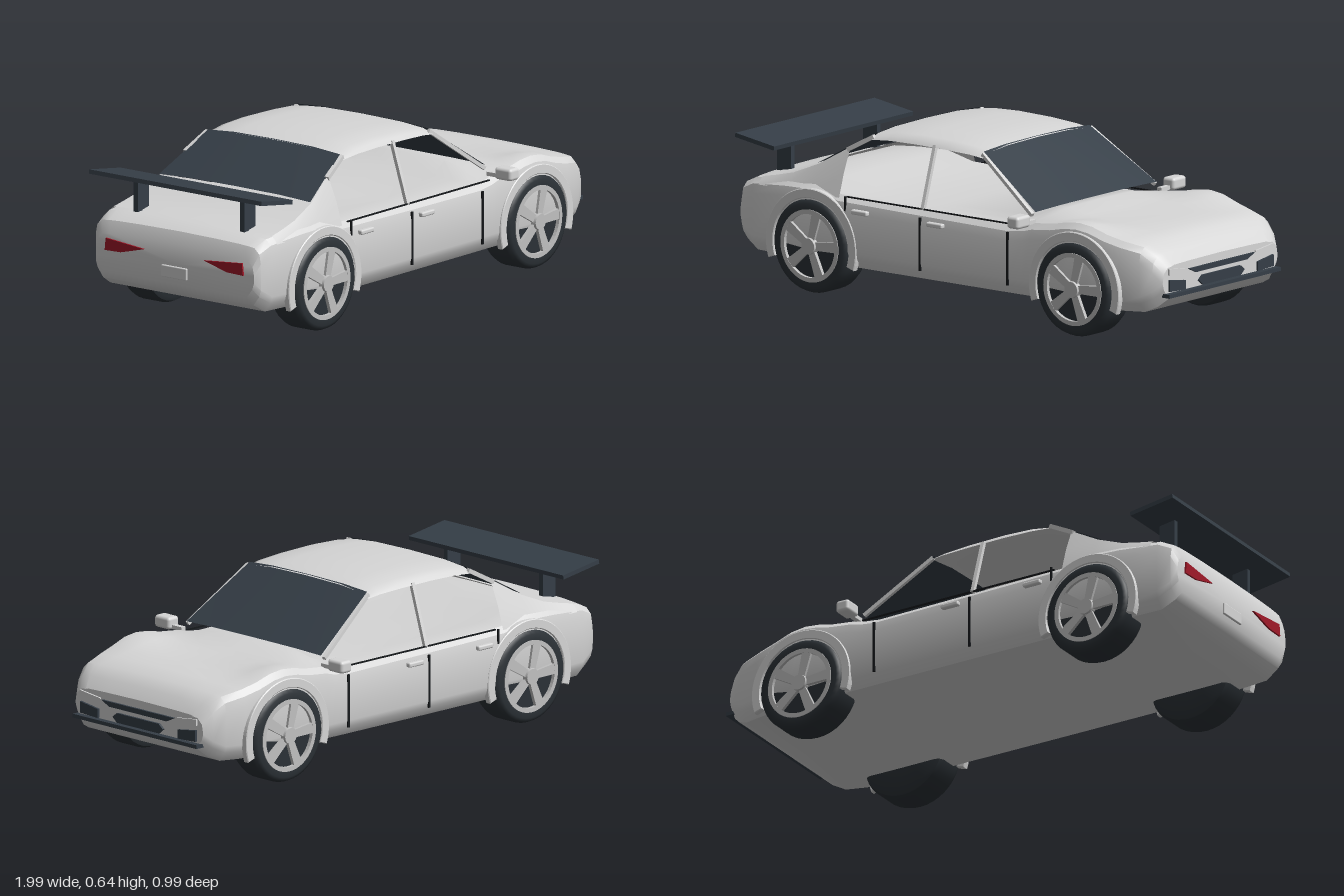
import * as THREE from 'three';
import { toCreasedNormals } from 'three/addons/utils/BufferGeometryUtils.js';
import { RoundedBoxGeometry } from 'three/addons/geometries/RoundedBoxGeometry.js';

function material(name, color, side = THREE.FrontSide) {
  const m = new THREE.MeshStandardMaterial({ color, side });
  m.name = name;
  return m;
}

// Skin over rows of [x, y, z] points, rows running towards +x
function loft(rows, { closed = false, caps = false, crease = 0.6 } = {}) {
  const n = rows[0].length, pos = rows.flat(2), idx = [];
  const segs = closed ? n : n - 1;
  for (let i = 0; i < rows.length - 1; i++) for (let j = 0; j < segs; j++) {
    const k = (j + 1) % n, a = i * n + j, b = i * n + k, c = b + n, d = a + n;
    idx.push(a, d, c, a, c, b);
  }
  if (caps) [0, rows.length - 1].forEach((r) => {
    const ys = rows[r].map((p) => p[1]);
    const center = pos.length / 3;
    pos.push(rows[r][0][0], (Math.min(...ys) + Math.max(...ys)) / 2, 0);
    for (let j = 0; j < n; j++) {
      const a = r * n + j, b = r * n + (j + 1) % n;
      if (r === 0) idx.push(center, a, b); else idx.push(center, b, a);
    }
  });
  const g = new THREE.BufferGeometry();
  g.setAttribute('position', new THREE.Float32BufferAttribute(pos, 3));
  g.setIndex(idx);
  return toCreasedNormals(g, crease);
}

// Half section from +z edge to centre, mirrored to -z
const mirrorRow = (x, half) => [
  ...half.map(([z, y]) => [x, y, z]),
  ...half.filter(([z]) => z > 0).reverse().map(([z, y]) => [x, y, -z]),
];

export function createModel() {
  const paint = material('paint', 0xd6d6d6, THREE.DoubleSide);
  const dark = material('darkGlass', 0x353e47, THREE.DoubleSide);
  const rubber = material('tyreRubber', 0x2b3136);
  const alloy = material('alloy', 0xc0c0c0);
  const seam = material('seam', 0x15181b);
  const red = material('redLamp', 0xa01828);

  const car = new THREE.Group();
  car.name = 'car';
  const add = (name, geo, mat, x = 0, y = 0, z = 0, parent = car) => {
    const m = new THREE.Mesh(geo, mat);
    m.name = name;
    m.position.set(x, y, z);
    parent.add(m);
    return m;
  };
  const box = (name, mat, w, h, d, x, y, z) => add(name, new THREE.BoxGeometry(w, h, d), mat, x, y, z);
  const bar = (name, mat, a, b, t) => {
    const p = new THREE.Vector3(...a), q = new THREE.Vector3(...b);
    const m = add(name, new THREE.BoxGeometry(t, t, p.distanceTo(q)), mat);
    m.position.copy(p).lerp(q, 0.5);
    m.lookAt(q);
  };

  // Lower body: x, bottom, centre top, shoulder top, half width
  const stations = [
    [-0.985, 0.18, 0.33, 0.325, 0.372], [-0.965, 0.15, 0.375, 0.37, 0.388],
    [-0.91, 0.118, 0.402, 0.395, 0.398], [-0.75, 0.115, 0.41, 0.408, 0.408],
    [-0.62, 0.115, 0.405, 0.412, 0.412], [-0.5, 0.115, 0.376, 0.385, 0.411],
    [-0.1, 0.115, 0.375, 0.38, 0.411], [0.3, 0.115, 0.375, 0.376, 0.409],
    [0.37, 0.115, 0.42, 0.385, 0.408], [0.41, 0.115, 0.42, 0.396, 0.408],
    [0.5, 0.115, 0.405, 0.406, 0.41], [0.56, 0.115, 0.4, 0.419, 0.411],
    [0.62, 0.115, 0.396, 0.425, 0.412], [0.68, 0.115, 0.393, 0.418, 0.411],
    [0.75, 0.115, 0.39, 0.396, 0.407], [0.82, 0.115, 0.384, 0.38, 0.398],
    [0.9, 0.118, 0.37, 0.365, 0.378], [0.945, 0.14, 0.335, 0.33, 0.358],
    [0.976, 0.17, 0.295, 0.29, 0.335],
  ];
  const bodyRows = stations.map(([x, yb, yc, ys, w]) => mirrorRow(x, [
    [0, yb], [w - 0.035, yb], [w - 0.008, yb + 0.035], [w, yb + 0.06], [w, ys - 0.06],
    [w - 0.007, ys - 0.025], [w - 0.03, ys - 0.004], [w - 0.065, ys],
    [0.28, ys * 0.55 + yc * 0.45], [0.18, yc], [0, yc + 0.002],
  ]));
  add('body', loft(bodyRows, { closed: true, caps: true }), paint);

  // Roof shell
  const roofRows = [[-0.41, -0.02], [-0.32, -0.005], [-0.2, 0], [-0.05, -0.003], [0.06, -0.01], [0.12, -0.022]]
    .map(([x, d]) => mirrorRow(x, [[0.325, 0.598 + d / 2], [0.312, 0.615 + d], [0.28, 0.626 + d],
      [0.18, 0.635 + d], [0, 0.638 + d]]));
  add('roof', loft(roofRows), paint);

  // Windscreen and rear window
  const pane = (x, y, z, rise) => mirrorRow(x, [[z, y], [z * 0.6, y + rise * 0.8], [0, y + rise]]);
  add('windscreen', loft([pane(0.11, 0.609, 0.308, 0.01), pane(0.39, 0.426, 0.352, 0.004)]), dark);
  add('rearWindow', loft([pane(-0.635, 0.477, 0.355, 0.008), pane(-0.405, 0.608, 0.31, 0.012)]), dark);

  // Tail deck behind the rear window
  add('tailDeck', loft([[-0.88, 0.398, 0.372], [-0.82, 0.41, 0.37], [-0.74, 0.429, 0.365], [-0.63, 0.474, 0.356]]
    .map(([x, y, z]) => pane(x, y, z, 0.008))), paint);

  for (const s of [1, -1]) {
    const side = s > 0 ? 'left' : 'right';

    // Rear quarter panel
    const quarter = [[-0.88, 0.398, 0.372], [-0.82, 0.41, 0.37], [-0.74, 0.429, 0.365], [-0.63, 0.474, 0.356], [-0.5, 0.55, 0.33]]
      .map(([x, y, z]) => {
        const row = [[x, 0.37, 0.397 * s], [x, 0.37 + (y - 0.37) * 0.5, (z * 0.45 + 0.22) * s], [x, y, z * s]];
        return s > 0 ? row : row.reverse();
      });
    add(side + 'QuarterPanel', loft(quarter), paint);

    // Pillars
    bar(side + 'FrontPillar', paint, [0.38, 0.415, 0.358 * s], [0.11, 0.6, 0.312 * s], 0.014);
    bar(side + 'MiddlePillar', paint, [-0.11, 0.375, 0.39 * s], [-0.11, 0.605, 0.317 * s], 0.014);
    bar(side + 'RearPillar', paint, [-0.51, 0.54, 0.333 * s], [-0.4, 0.6, 0.315 * s], 0.016);

    // Door seams, belt line and handles
    for (const x of [-0.108, 0.305]) box(side + 'DoorSeam', seam, 0.009, 0.2, 0.006, x, 0.25, 0.41 * s);
    box(side + 'RearDoorSeam', seam, 0.007, 0.055, 0.006, -0.462, 0.355, 0.409 * s);
    box(side + 'BeltLine', seam, 0.83, 0.005, 0.006, -0.05, 0.378, 0.393 * s);
    for (const x of [-0.385, -0.03])
      add(side + 'DoorHandle', new RoundedBoxGeometry(0.075, 0.018, 0.022, 2, 0.006), paint, x, 0.332, 0.417 * s);

    // Wing mirror
    add(side + 'Mirror', new RoundedBoxGeometry(0.055, 0.046, 0.078, 3, 0.012), paint, 0.393, 0.408, 0.454 * s);
    box(side + 'MirrorStem', paint, 0.02, 0.015, 0.06, 0.393, 0.395, 0.395 * s);

    // Spoiler support
    box(side + 'SpoilerSupport', dark, 0.065, 0.13, 0.02, -0.87, 0.46, 0.25 * s);

    for (const x of [-0.62, 0.62]) buildWheel(x, s, side + (x > 0 ? 'Front' : 'Rear'));
  }

  // Wheel and arch flare at one corner
  function buildWheel(x, s, label) {
    const g = new THREE.Group();
    g.name = label + 'Wheel';
    g.position.set(x, 0.178, 0.352 * s);
    if (s < 0) g.rotation.y = Math.PI;
    car.add(g);
    const profile = [[0, -0.065], [0.155, -0.067], [0.17, -0.06], [0.178, -0.042], [0.178, 0.045],
      [0.171, 0.062], [0.158, 0.069], [0.134, 0.068], [0.13, 0.055], [0, 0.055]]
      .map(([r, h]) => new THREE.Vector2(r, h));
    const tyre = toCreasedNormals(new THREE.LatheGeometry(profile, 40), 0.7);
    tyre.rotateX(Math.PI / 2);
    add('tyre', tyre, rubber, 0, 0, 0, g);
    const ring = new THREE.Shape().absarc(0, 0, 0.136, 0, Math.PI * 2);
    ring.holes.push(new THREE.Path().absarc(0, 0, 0.119, 0, Math.PI * 2));
    add('rim', new THREE.ExtrudeGeometry(ring, { depth: 0.014, bevelEnabled: false, curveSegments: 24 }), alloy, 0, 0, 0.057, g);
    const spoke = new THREE.Shape([[0.015, -0.014], [0.124, -0.02], [0.124, 0.02], [0.015, 0.014]]
      .map((p) => new THREE.Vector2(...p)));
    for (let i = 0; i < 5; i++)
      add('spoke', new THREE.ExtrudeGeometry(spoke, { depth: 0.014, bevelEnabled: false }), alloy, 0, 0, 0.056, g)
        .rotation.z = (i + 0.05) * Math.PI * 0.4;
    add('hub', new THREE.CylinderGeometry(0.03, 0.034, 0.026, 20).rotateX(Math.PI / 2), alloy, 0, 0, 0.066, g);

    const a = -0.32, b = Math.PI + 0.32;
    const arch = new THREE.Shape().absarc(0, 0, 0.21, a, b, false);
    arch.absarc(0, 0, 0.18, b, a, true);
    add('archFlare', new THREE.ExtrudeGeometry(arch, { depth: 0.02, bevelEnabled: true, bevelSize: 0.003,
      bevelThickness: 0.003, bevelSegments: 1, curveSegments: 24 }), paint, 0, 0, 0.04, g);
  }

  // Flat plates on the nose and tail, outlined in [z, y]
  const plate = (name, mat, x, pts) => {
    const shape = new THREE.Shape(pts.map(([z, y]) => new THREE.Vector2(-z, y)));
    add(name, new THREE.ExtrudeGeometry(shape, { depth: 0.009, bevelEnabled: false }).rotateY(Math.PI / 2), mat, x);
  };
  plate('upperGrille', dark, 0.976, [[-0.19, 0.266], [0.19, 0.266], [0.15, 0.247], [-0.15, 0.247]]);
  plate('lowerGrille', dark, 0.976, [[-0.11, 0.23], [0.11, 0.23], [0.132, 0.213], [0.11, 0.194], [-0.11, 0.194], [-0.132, 0.213]]);
  for (const s of [1, -1]) {
    plate('sideIntake', dark, 0.976, [[0.21 * s, 0.227], [0.302 * s, 0.24], [0.302 * s, 0.197], [0.21 * s, 0.193]]);
    plate('headlight', paint, 0.974, [[0.2 * s, 0.27], [0.305 * s, 0.282], [0.305 * s, 0.258], [0.2 * s, 0.266]]);
    plate('tailLamp', red, -0.992, [[0.14 * s, 0.292], [0.32 * s, 0.308], [0.325 * s, 0.262], [0.25 * s, 0.264]]);
  }
  box('frontLip', dark, 0.05, 0.014, 0.65, 0.975, 0.184, 0);
  add('rearPlate', new RoundedBoxGeometry(0.012, 0.045, 0.12, 1, 0.004), paint, -0.987, 0.225, 0);

  // Spoiler blade
  box('spoilerBlade', dark, 0.185, 0.016, 0.81, -0.892, 0.53, 0).rotation.z = -0.15;

  return car;
}
